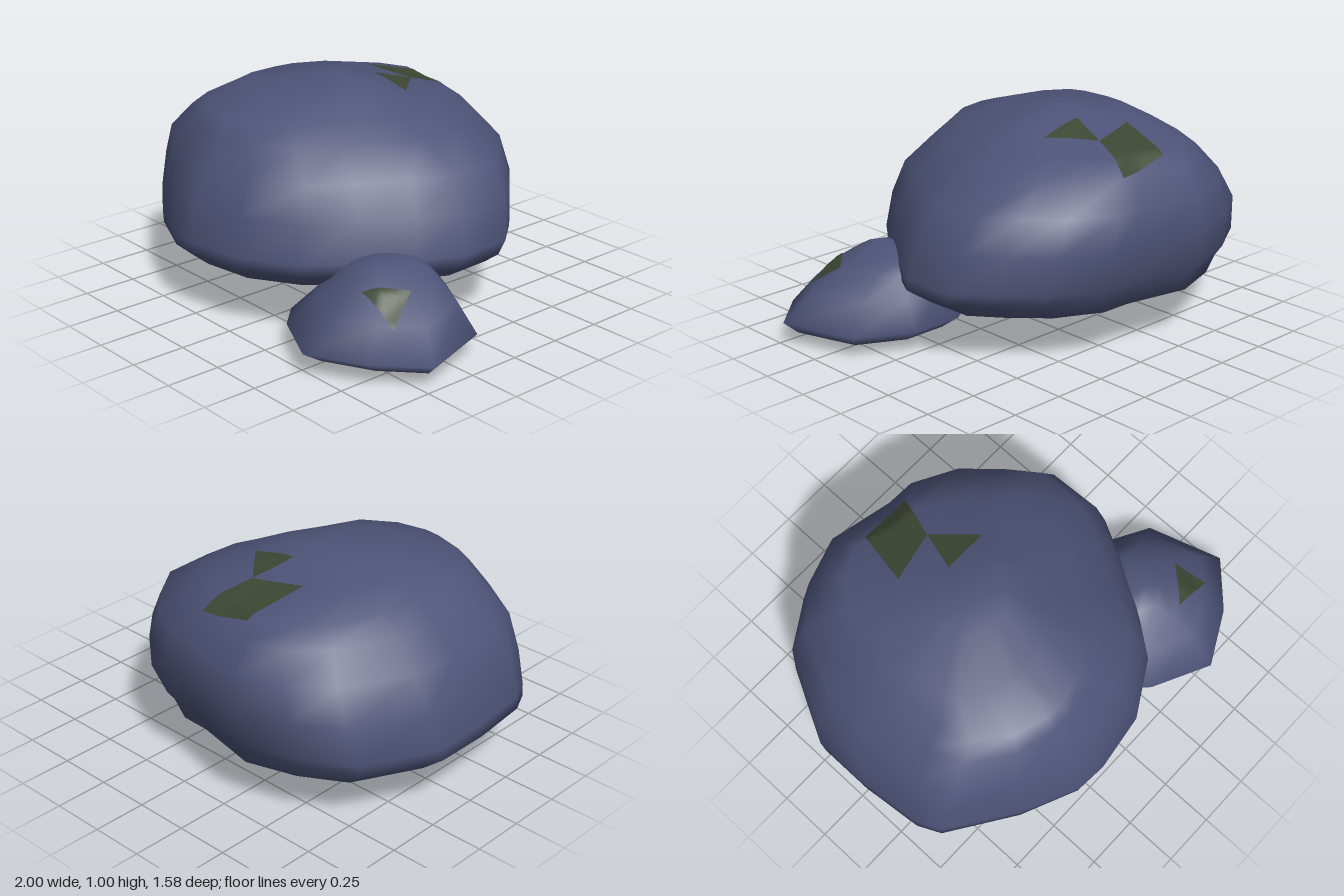
import * as THREE from 'three';

// Closed rock lofted from one plan outline fitted to boxes at several heights.
// outline: [x, z, dx, dz] clockwise from above; dx, dz fill out the shape towards the crown;
// rings: [y, xMin, xMax, zMin, zMax] bottom to top; bottom and top: end points
function rockGeometry(outline, rings, bottom, top) {
  const n = outline.length;
  const box = new THREE.Box2().setFromPoints(outline.map(([x, z]) => new THREE.Vector2(x, z)));
  const pos = [];
  for (const [y, x0, x1, z0, z1] of rings) {
    const crown = THREE.MathUtils.smoothstep(y / top[1], 0.45, 0.75);
    for (const [x, z, dx = 0, dz = 0] of outline) {
      pos.push(
        THREE.MathUtils.mapLinear(x + dx * crown, box.min.x, box.max.x, x0, x1), y,
        THREE.MathUtils.mapLinear(z + dz * crown, box.min.y, box.max.y, z0, z1));
    }
  }
  const b = rings.length * n, t = b + 1;
  pos.push(...bottom, ...top);
  const index = [];
  for (let j = 0; j < n; j++) {
    const k = (j + 1) % n;
    index.push(j, k, b);
    for (let i = 0; i < rings.length - 1; i++) {
      const lo = i * n, hi = lo + n;
      index.push(lo + k, lo + j, hi + j, lo + k, hi + j, hi + k);
    }
    const last = (rings.length - 1) * n;
    index.push(last + k, last + j, t);
  }
  const g = new THREE.BufferGeometry();
  g.setAttribute('position', new THREE.Float32BufferAttribute(pos, 3));
  g.setIndex(index);
  g.computeVertexNormals();
  return g;
}

// Triangle of moss draped over a rock; corners are [x, z] in plan
function mossPatch(rock, corners, material) {
  const steps = 10, pos = [], index = [];
  const ray = new THREE.Raycaster();
  const down = new THREE.Vector3(0, -1, 0);
  const [a, b, c] = corners;
  const at = (i, j) => (i * (i + 1)) / 2 + j;
  for (let i = 0; i <= steps; i++) {
    for (let j = 0; j <= i; j++) {
      const wa = 1 - i / steps, wc = j / steps, wb = 1 - wa - wc;
      const x = a[0] * wa + b[0] * wb + c[0] * wc;
      const z = a[1] * wa + b[1] * wb + c[1] * wc;
      ray.set(new THREE.Vector3(x, 3, z), down);
      pos.push(x, ray.intersectObject(rock)[0].point.y + 0.004, z);
      if (i < steps) index.push(at(i, j), at(i + 1, j), at(i + 1, j + 1));
      if (i < steps && j < i) index.push(at(i, j), at(i + 1, j + 1), at(i, j + 1));
    }
  }
  const g = new THREE.BufferGeometry();
  g.setAttribute('position', new THREE.Float32BufferAttribute(pos, 3));
  g.setIndex(index);
  g.computeVertexNormals();
  const mesh = new THREE.Mesh(g, material);
  mesh.name = 'mossPatch';
  return mesh;
}

export function createModel() {
  const model = new THREE.Group();
  model.name = 'rocks';
  const stone = new THREE.MeshStandardMaterial({ color: 0x4d5377 });
  const moss = new THREE.MeshStandardMaterial({ color: 0x3d4733 });

  // Large domed boulder, fuller at the crown towards the front right
  const large = new THREE.Mesh(rockGeometry(
    [[-1, -0.25, 0.03, 0.03], [-0.83, -0.58, 0.03, 0.03], [-0.61, -0.71], [-0.35, -0.79],
      [0, -0.72], [0.16, -0.715], [0.39, -0.6], [0.55, -0.44], [0.67, -0.29], [0.68, -0.03],
      [0.58, 0.16], [0.45, 0.38], [0.3, 0.58, 0.02, 0.02], [0.05, 0.73], [-0.22, 0.77],
      [-0.36, 0.76], [-0.62, 0.64, -0.02, 0.06], [-0.92, 0.43, 0, 0.1], [-0.97, 0.32, -0.02, 0.03],
      [-1, 0.02]],
    [[0.15, -0.5, 0.05, -0.38, 0.25],
      [0.18, -0.78, 0.3, -0.58, 0.46],
      [0.23, -0.91, 0.57, -0.7, 0.69],
      [0.3, -1, 0.67, -0.71, 0.77],
      [0.36, -1, 0.68, -0.76, 0.78],
      [0.53, -0.97, 0.64, -0.79, 0.75],
      [0.68, -0.89, 0.55, -0.77, 0.68],
      [0.8, -0.77, 0.36, -0.68, 0.59],
      [0.865, -0.68, 0.22, -0.6, 0.54],
      [0.93, -0.58, 0.08, -0.32, 0.33],
      [0.965, -0.35, -0.01, -0.18, 0.1]],
    [-0.23, 0.13, 0], [-0.22, 0.995, -0.02]), stone);
  large.name = 'largeRock';

  // Small pointed boulder leaning against it
  const small = new THREE.Mesh(rockGeometry(
    [[0.11, 0.38], [0.2, 0.14], [0.4, 0.01], [0.64, 0.01], [0.88, 0.14], [0.99, 0.48],
      [0.8, 0.66, 0.05, 0.04], [0.55, 0.79], [0.28, 0.66, 0, 0.04], [0.17, 0.55, 0, 0.04]],
    [[0.01, 0.31, 0.62, 0.18, 0.55],
      [0.05, 0.19, 0.94, 0.05, 0.7],
      [0.105, 0.11, 1, -0.02, 0.79],
      [0.23, 0.23, 0.89, 0.05, 0.65],
      [0.33, 0.33, 0.75, 0.11, 0.53],
      [0.38, 0.39, 0.64, 0.16, 0.45]],
    [0.5, 0, 0.36], [0.54, 0.415, 0.36]), stone);
  small.name = 'smallRock';

  // Moss patches on the upper faces
  model.add(large, small,
    mossPatch(large, [[-0.27, -0.61], [-0.33, -0.34], [-0.09, -0.4]], moss),
    mossPatch(large, [[-0.27, -0.61], [-0.09, -0.4], [-0.01, -0.62]], moss),
    mossPatch(large, [[-0.09, -0.4], [-0.15, -0.21], [0.07, -0.22]], moss),
    mossPatch(small, [[0.75, 0.37], [0.61, 0.52], [0.81, 0.52]], moss));
  return model;
}
